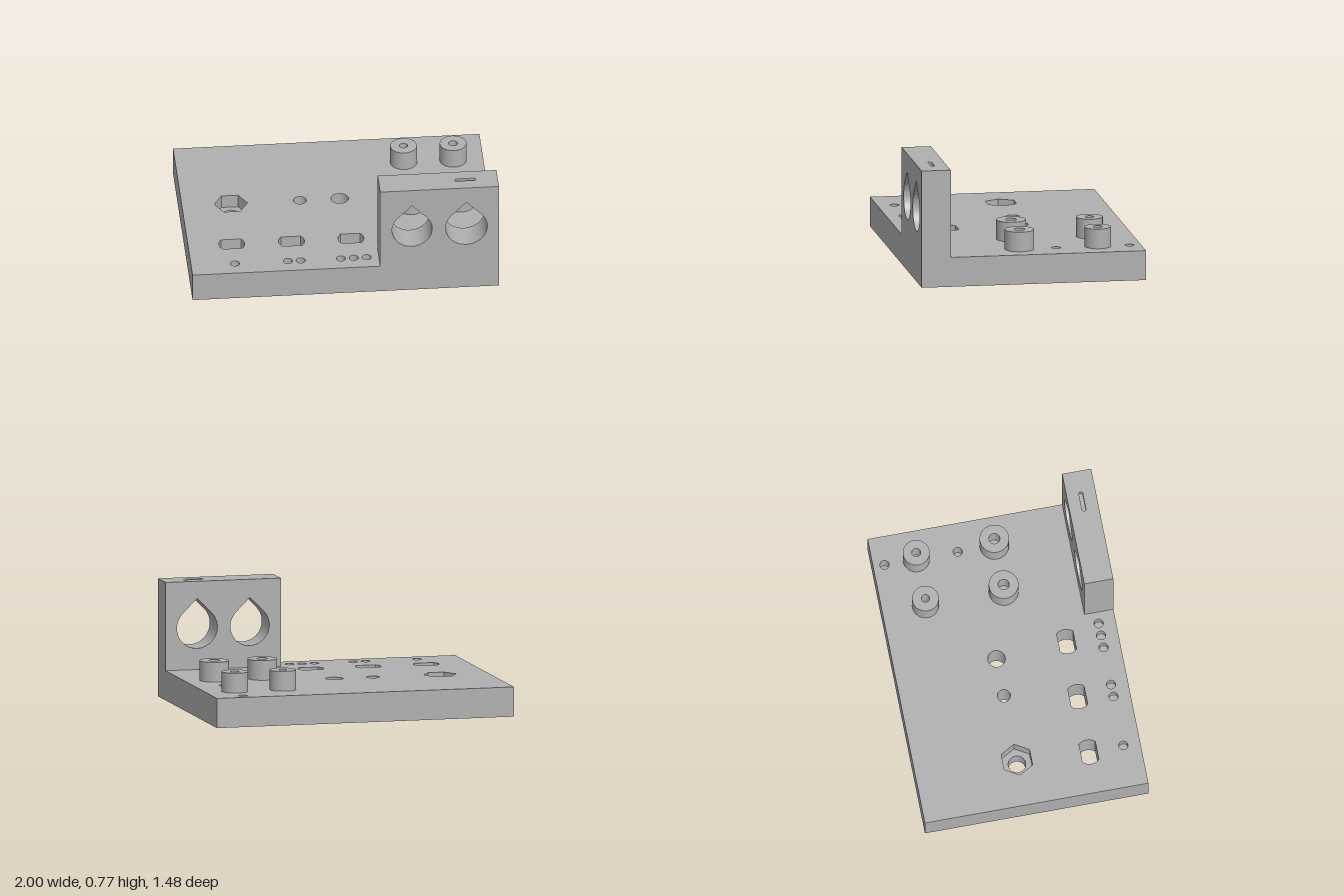
import * as THREE from 'three';
import { mergeGeometries, toCreasedNormals } from 'three/addons/utils/BufferGeometryUtils.js';

const PLATE_H = 0.195, HALF_Z = 0.74, WALL_BACK = 0.548, WALL_TOP = 0.775, POST_TOP = 0.325;
const MARK_DEPTH = 0.03;

// --- Outlines, all counter-clockwise lists of 2D points ---
const rect = (x0, y0, x1, y1) =>
  [[x0, y0], [x1, y0], [x1, y1], [x0, y1]].map(([x, y]) => new THREE.Vector2(x, y));

function arc(x, y, r, from, to, n) {
  const points = [];
  for (let i = 0; i <= n; i++) {
    const a = from + (to - from) * i / n;
    points.push(new THREE.Vector2(x + r * Math.cos(a), y + r * Math.sin(a)));
  }
  return points;
}
const polygon = (x, y, r, n = 48) => arc(x, y, r, 0, Math.PI * 2, n).slice(0, n);

// Circle cut off by two parallel flats
function flattened(x, y, r, halfFlat) {
  const a = Math.asin(halfFlat / r);
  return [...arc(x, y, r, -a, a, 12), ...arc(x, y, r, Math.PI - a, Math.PI + a, 12)];
}
// Circle with a 45 degree roof
const teardrop = (x, y, r) => [
  ...arc(x, y, r, Math.PI * 0.75, Math.PI * 2.25, 48),
  new THREE.Vector2(x, y + r * Math.SQRT2),
];
// Slot with round ends
const stadium = (x, y, halfLength, r) => [
  ...arc(x + halfLength - r, y, r, -Math.PI / 2, Math.PI / 2, 10),
  ...arc(x - halfLength + r, y, r, Math.PI / 2, Math.PI * 1.5, 10),
];

// --- Surfaces ---
function face(outline, holes, z, down = false) {
  const shape = new THREE.Shape(outline);
  shape.holes = holes.map((h) => new THREE.Path(h));
  const g = new THREE.ShapeGeometry(shape);
  if (down) g.setIndex([...g.index.array].reverse());
  g.translate(0, 0, z);
  g.deleteAttribute('uv');
  g.deleteAttribute('normal');
  return g.toNonIndexed();
}

function sides(outline, z0, z1, inward = false) {
  const points = inward ? [...outline].reverse() : outline;
  const position = [];
  points.forEach((p, i) => {
    const q = points[(i + 1) % points.length];
    position.push(p.x, p.y, z0, q.x, q.y, z0, q.x, q.y, z1);
    position.push(p.x, p.y, z0, q.x, q.y, z1, p.x, p.y, z1);
  });
  const g = new THREE.BufferGeometry();
  g.setAttribute('position', new THREE.Float32BufferAttribute(position, 3));
  return g;
}

// Solid of height h along z. Each hole has an outline, an optional depth
// (otherwise it goes right through) and an optional bore through its floor.
function block(outline, holes, h) {
  const through = holes.map((o) => (o.depth ? o.bore : o.outline)).filter(Boolean);
  const parts = [
    face(outline, holes.map((o) => o.outline), h),
    face(outline, through, 0, true),
    sides(outline, 0, h),
  ];
  for (const o of holes) {
    const floor = o.depth ? h - o.depth : 0;
    parts.push(sides(o.outline, floor, h, true));
    if (o.depth) parts.push(face(o.outline, o.bore ? [o.bore] : [], floor));
    if (o.bore) parts.push(sides(o.bore, 0, floor, true));
  }
  return toCreasedNormals(mergeGeometries(parts), 0.5);
}
const upright = (outline, holes, h) => block(outline, holes, h).rotateX(-Math.PI / 2);

export function createModel() {
  const model = new THREE.Group();
  model.name = 'mountingBracket';
  const grey = new THREE.MeshStandardMaterial({ color: 0xb0b0b0 });
  grey.name = 'grey';
  const add = (name, geometry, x = 0, y = 0, z = 0) => {
    const mesh = new THREE.Mesh(geometry, grey);
    mesh.name = name;
    mesh.position.set(x, y, z);
    model.add(mesh);
  };

  // Base plate: nut pocket, round holes, flattened holes, marker dots, pin holes
  const plateHoles = [
    { outline: polygon(-0.68, 0.07, 0.108, 6), depth: 0.09, bore: polygon(-0.68, 0.07, 0.057) },
    { outline: polygon(-0.23, 0.07, 0.043) },
    { outline: polygon(0.03, 0.07, 0.057) },
  ];
  for (const x of [-0.715, -0.325, 0.063]) plateHoles.push({ outline: flattened(x, -0.4, 0.084, 0.054) });
  for (const x of [-0.713, -0.368, -0.284, -0.022, 0.062, 0.146])
    plateHoles.push({ outline: polygon(x, -0.628, 0.03, 32), depth: 0.05 });
  for (const z of [-0.665, -0.18]) plateHoles.push({ outline: polygon(0.805, -z, 0.03, 32), depth: 0.1 });
  add('basePlate', upright(rect(-1, -HALF_Z, 1, HALF_Z), plateHoles, PLATE_H));

  // Upright wall with two teardrop holes
  const wallTop = WALL_TOP - MARK_DEPTH;
  const drops = [teardrop(0.433, 0.47, 0.131), teardrop(0.788, 0.47, 0.136)];
  add('wall', block(rect(0.225, PLATE_H, 1, wallTop), drops.map((outline) => ({ outline })),
    HALF_Z - WALL_BACK), 0, 0, WALL_BACK);

  // Top of the wall with its shallow marker slot
  add('wallCap', upright(rect(0.225, -HALF_Z, 1, -WALL_BACK),
    [{ outline: stadium(0.788, -0.642, 0.068, 0.013) }], MARK_DEPTH), 0, wallTop, 0);

  // Screw posts: x, z, radius, hole radius
  const posts = [
    [0.48, -0.455, 0.087, 0.027], [0.803, -0.455, 0.087, 0.029],
    [0.48, 0.062, 0.097, 0.036], [0.803, 0.062, 0.096, 0.036],
  ];
  for (const [x, z, r, hole] of posts) {
    add('screwPost', upright(polygon(0, 0, r), [{ outline: polygon(0, 0, hole, 32), depth: 0.12 }],
      POST_TOP - PLATE_H), x, PLATE_H, z);
  }
  return model;
}
